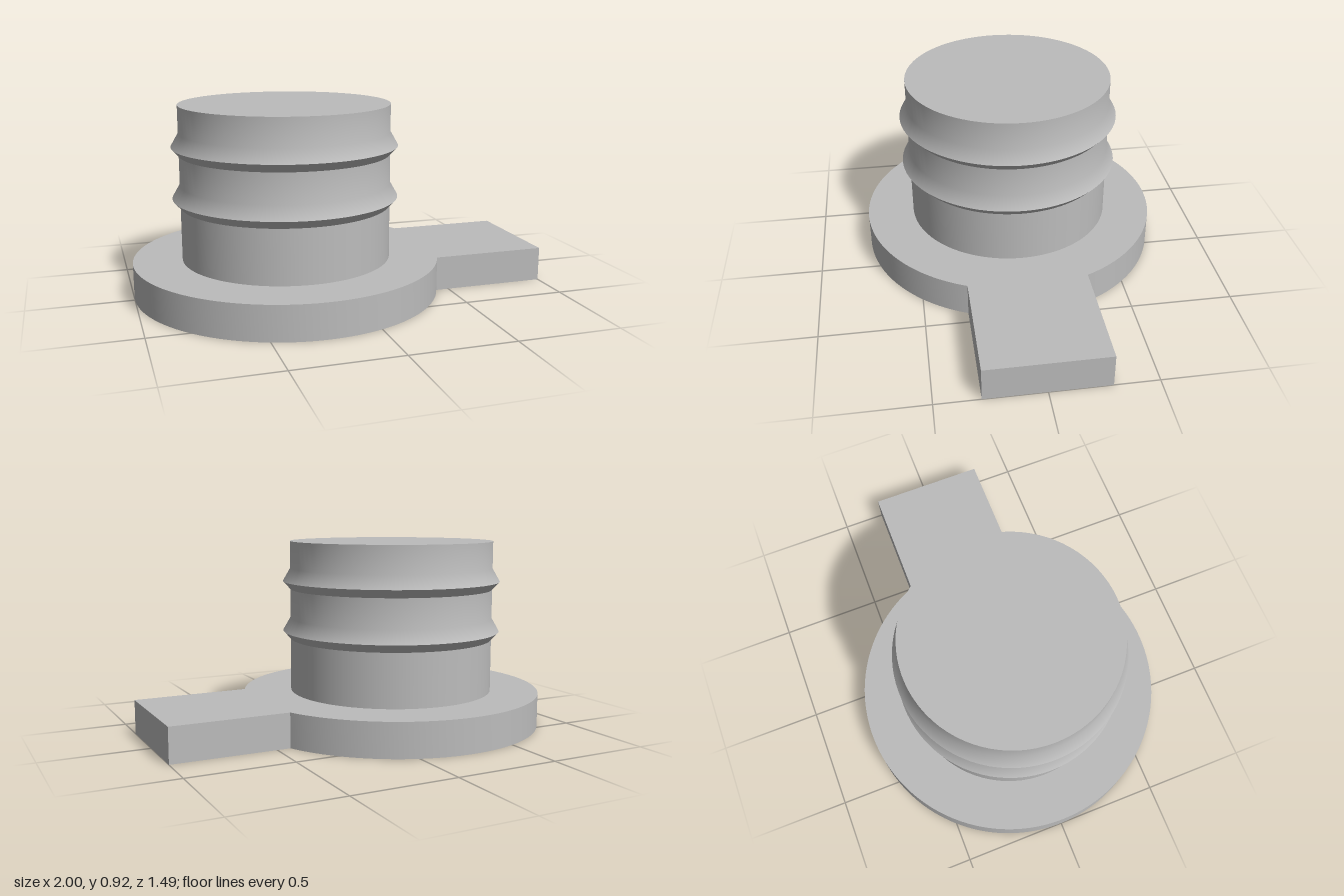
import * as THREE from 'three';
import { toCreasedNormals } from 'three/addons/utils/BufferGeometryUtils.js';

const CENTER_X = -0.253;
const FLANGE_R = 0.747, FLANGE_H = 0.167;
const PLUG_R = 0.51, RIB_R = 0.547, PLUG_TOP = 0.92;
const TAB_HALF = 0.29, TAB_END = 1;

export function createModel() {
  const model = new THREE.Group();
  model.name = 'stopperPlug';
  const grey = new THREE.MeshStandardMaterial({ color: 0xbcbcbc });
  grey.name = 'grey plastic';

  const add = (name, geometry, parent) => {
    const mesh = new THREE.Mesh(geometry, grey);
    mesh.name = name;
    parent.add(mesh);
    return mesh;
  };

  // Round flange and pull tab in one outline
  const a = Math.asin(TAB_HALF / FLANGE_R);
  const outline = new THREE.Shape();
  outline.moveTo(TAB_END, -TAB_HALF);
  outline.lineTo(TAB_END, TAB_HALF);
  outline.absarc(CENTER_X, 0, FLANGE_R, a, Math.PI * 2 - a, false);
  outline.closePath();
  const flange = new THREE.ExtrudeGeometry(outline, {
    depth: FLANGE_H, bevelEnabled: false, curveSegments: 80,
  });
  flange.rotateX(-Math.PI / 2);
  add('flangeWithTab', toCreasedNormals(flange, Math.PI / 6), model);

  // Plug: one lathe per smooth band, so edges between bands stay sharp
  const plug = new THREE.Group();
  plug.name = 'plug';
  plug.position.x = CENTER_X;
  model.add(plug);
  const band = (name, points) => add(name, new THREE.LatheGeometry(
    points.map(([r, y]) => new THREE.Vector2(r, y)), 80), plug);

  band('lowerWall', [[PLUG_R, FLANGE_H], [PLUG_R, 0.43]]);

  // Sealing ribs: steep underside, gentle top running into the wall above
  const ribs = [0.43, 0.68];
  ribs.forEach((y, i) => {
    const end = ribs[i + 1] ?? PLUG_TOP;
    band('ribUnderside', [[PLUG_R, y], [RIB_R, y + 0.04]]);
    band('ribTopAndWall', [[RIB_R, y + 0.04], [PLUG_R, y + 0.105], [PLUG_R, end]]);
  });

  // Flat top
  const cap = new THREE.CircleGeometry(PLUG_R, 80);
  cap.rotateX(-Math.PI / 2);
  add('plugTop', cap, plug).position.y = PLUG_TOP;

  return model;
}
